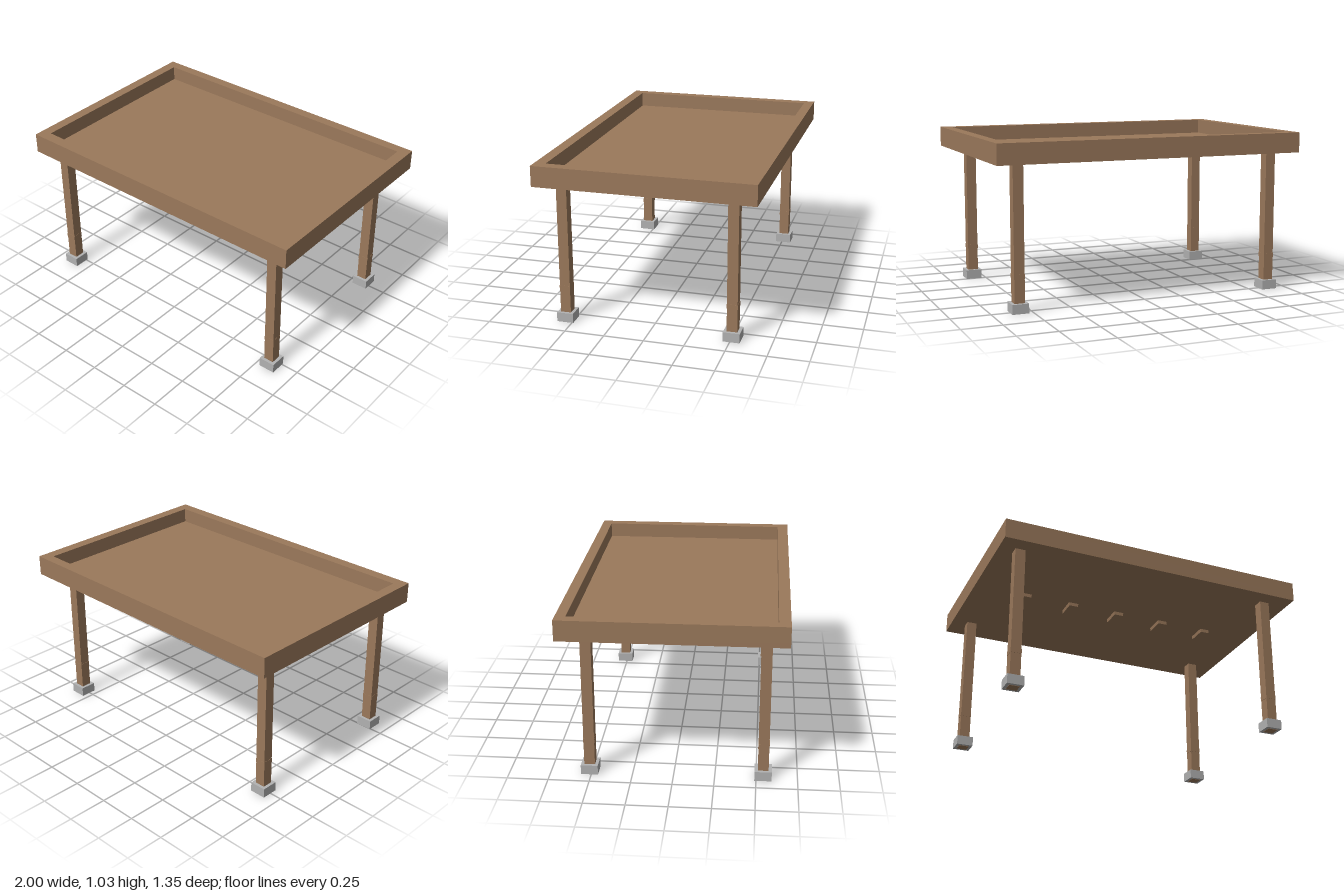
import * as THREE from 'three';

const wood = new THREE.MeshStandardMaterial({ name: 'brown wood', color: 0x9b795b });
const stone = new THREE.MeshStandardMaterial({ name: 'grey footing', color: 0xb2b2b2 });

// Box given by its centre in x and z and its bottom and top heights
function block(name, material, width, depth, bottom, top, x = 0, z = 0) {
  const mesh = new THREE.Mesh(new THREE.BoxGeometry(width, top - bottom, depth), material);
  mesh.name = name;
  mesh.position.set(x, (bottom + top) / 2, z);
  return mesh;
}

function rectangle(path, x0, x1, y0, y1) {
  path.moveTo(x0, y0);
  path.lineTo(x1, y0);
  path.lineTo(x1, y1);
  path.lineTo(x0, y1);
  path.closePath();
  return path;
}

export function createModel() {
  const table = new THREE.Group();
  table.name = 'trayTable';

  // Flat board that forms the tray floor
  table.add(block('trayFloor', wood, 2, 1.348, 0.907, 0.94));

  // Raised frame around the tray
  const outline = rectangle(new THREE.Shape(), -1, 1, -0.674, 0.674);
  outline.holes.push(rectangle(new THREE.Path(), -0.934, 0.931, -0.604, 0.61));
  const rimGeometry = new THREE.ExtrudeGeometry(outline, { depth: 0.095, bevelEnabled: false });
  rimGeometry.rotateX(-Math.PI / 2);
  const rim = new THREE.Mesh(rimGeometry, wood);
  rim.name = 'trayRim';
  rim.position.y = 0.94;
  table.add(rim);

  // Small cleats in a row under the floor, narrowing slightly downwards
  for (let i = -2; i <= 2; i++) {
    const cleat = block('cleat', wood, 0.066, 0.13, 0.884, 0.907, i * 0.327);
    const p = cleat.geometry.attributes.position;
    for (let v = 0; v < p.count; v++) {
      if (p.getY(v) < 0) p.setX(v, p.getX(v) * 0.9);
    }
    cleat.geometry.computeVertexNormals();
    table.add(cleat);
  }

  // Four legs, each with a faint joint collar and a footing around its base
  for (const x of [-0.87, 0.834]) {
    for (const z of [0.542, -0.51]) {
      const leg = new THREE.Group();
      leg.name = 'leg';
      leg.position.set(x, 0, z);
      leg.add(
        block('post', wood, 0.065, 0.065, 0, 0.907),
        block('collar', wood, 0.068, 0.068, 0.21, 0.238),
        block('footing', stone, 0.104, 0.104, 0.002, 0.062)
      );
      table.add(leg);
    }
  }
  return table;
}
